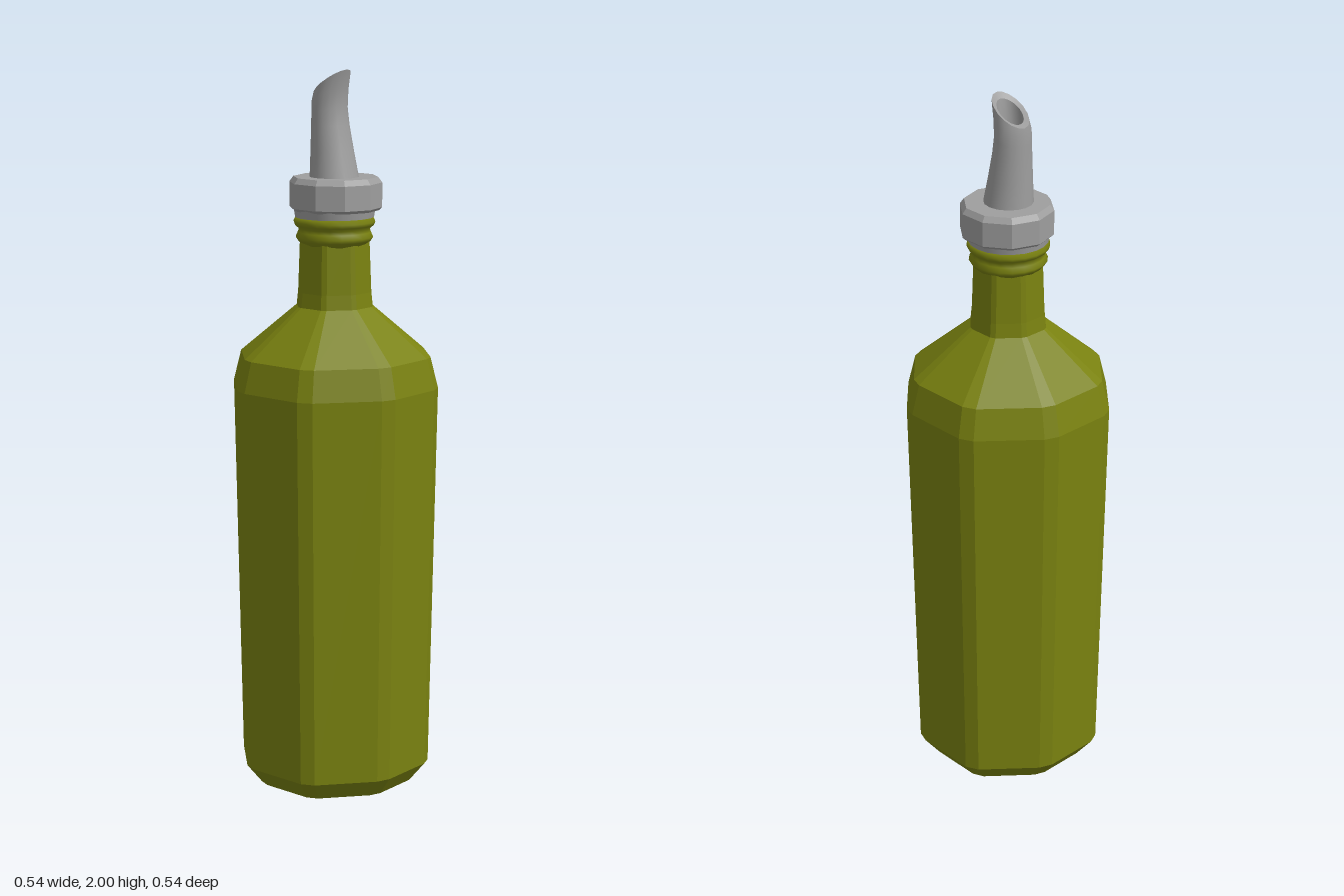
import * as THREE from 'three';

// Skin a stack of closed rings; each ring is a list of [x, y, z], wound from +x to +z.
function loft(rings, { flat = false, capBottom = false, capTop = false } = {}) {
  const n = rings[0].length;
  const index = [];
  for (let r = 0; r < rings.length - 1; r++) {
    for (let i = 0; i < n; i++) {
      const j = (i + 1) % n;
      const a = r * n + i, b = r * n + j, c = a + n, d = b + n;
      index.push(a, c, b, b, c, d);
    }
  }
  const top = (rings.length - 1) * n;
  for (let i = 1; i < n - 1; i++) {
    if (capBottom) index.push(0, i, i + 1);
    if (capTop) index.push(top, top + i + 1, top + i);
  }
  let geometry = new THREE.BufferGeometry();
  geometry.setAttribute('position', new THREE.Float32BufferAttribute(rings.flat(2), 3));
  geometry.setIndex(index);
  if (flat) geometry = geometry.toNonIndexed();
  geometry.computeVertexNormals();
  return geometry;
}

// Slightly uneven octagon of the glass, with every corner cut by a small chamfer.
const corners = [
  [0.27, 0.07], [0.127, 0.256], [-0.105, 0.27], [-0.265, 0.13],
  [-0.273, -0.085], [-0.125, -0.268], [0.11, -0.272], [0.26, -0.14],
];
const outline = corners.flatMap((p, i) => {
  const toward = (q) => p.map((v, k) => v + (q[k] - v) * 0.1);
  return [toward(corners[(i + 7) % 8]), toward(corners[(i + 1) % 8])];
});
const glassRing = ([y, s]) => outline.map(([x, z]) => [x * s, y, z * s]);

const SIDES = 16;
const angles = Array.from({ length: SIDES }, (_, i) => (i / SIDES) * Math.PI * 2);

// Spout ring spanning x0..x1, tilted so that it rises from y0 to y1 across x.
const spoutRing = ([x0, x1, rz, y0, y1]) => angles.map((a) => {
  const t = (Math.cos(a) + 1) / 2;
  return [x0 + (x1 - x0) * t, y0 + (y1 - y0) * t, Math.sin(a) * rz];
});

export function createModel() {
  const glass = new THREE.MeshStandardMaterial({ color: 0x7a8210 });
  glass.name = 'olive glass';
  const metal = new THREE.MeshStandardMaterial({ color: 0x9e9e9e });
  metal.name = 'grey metal';

  const group = new THREE.Group();
  group.name = 'pourerBottle';
  const add = (name, geometry, material, y = 0) => {
    const mesh = new THREE.Mesh(geometry, material);
    mesh.name = name;
    mesh.position.y = y;
    group.add(mesh);
    return mesh;
  };

  // Faceted bottle body, shoulder and neck
  add('bottleBody', loft([
    [0.005, 0.78], [0.06, 0.935], [1.14, 1], [1.225, 0.925], [1.36, 0.37],
  ].map(glassRing), { flat: true, capBottom: true }), glass);
  add('bottleNeck', loft([
    [1.36, 0.37], [1.4, 0.355], [1.55, 0.335],
  ].map(glassRing), { flat: true, capTop: true }), glass);

  // Rounded double lip
  const lip = [
    [0.085, 1.525], [0.1, 1.54], [0.106, 1.55], [0.1, 1.563], [0.097, 1.573],
    [0.108, 1.582], [0.112, 1.592], [0.106, 1.606], [0, 1.606],
  ].map(([r, y]) => new THREE.Vector2(r, y));
  add('bottleLip', new THREE.LatheGeometry(lip, 20), glass);

  // Collar below the ten-sided cap
  add('capCollar', new THREE.CylinderGeometry(0.112, 0.108, 0.022, 20), metal, 1.615);

  // Ten-sided cap with chamfered edges
  const capRing = ([y, r]) => Array.from({ length: 10 }, (_, i) => {
    const a = (i / 10) * Math.PI * 2;
    return [Math.cos(a) * r, y, Math.sin(a) * r - 0.005];
  });
  add('cap', loft([
    [1.622, 0.118], [1.63, 0.127], [1.697, 0.127], [1.712, 0.116],
  ].map(capRing), { flat: true, capBottom: true, capTop: true }), metal);

  // Tapered spout, cut at a slant
  add('spoutOuter', loft([
    [-0.068, 0.068, 0.067, 1.705, 1.705],
    [-0.066, 0.05, 0.06, 1.78, 1.78],
    [-0.065, 0.035, 0.054, 1.85, 1.85],
    [-0.065, 0.029, 0.051, 1.88, 1.9],
    [-0.065, 0.033, 0.05, 1.91, 1.95],
    [-0.063, 0.046, 0.044, 1.93, 2],
  ].map(spoutRing)), metal);

  // Rim and hollow inside
  add('spoutRim', loft([
    [-0.063, 0.046, 0.044, 1.93, 2],
    [-0.045, 0.032, 0.033, 1.935, 1.985],
  ].map(spoutRing)), metal);
  add('spoutInside', loft([
    [-0.045, 0.032, 0.033, 1.935, 1.985],
    [-0.045, 0.02, 0.035, 1.88, 1.89],
    [-0.045, 0.022, 0.036, 1.72, 1.72],
  ].map(spoutRing)), metal);

  // Oil seen down the spout
  const oil = add('oilSurface', new THREE.CircleGeometry(0.045, SIDES), glass, 1.72);
  oil.rotation.x = -Math.PI / 2;
  oil.position.x = -0.008;

  return group;
}
